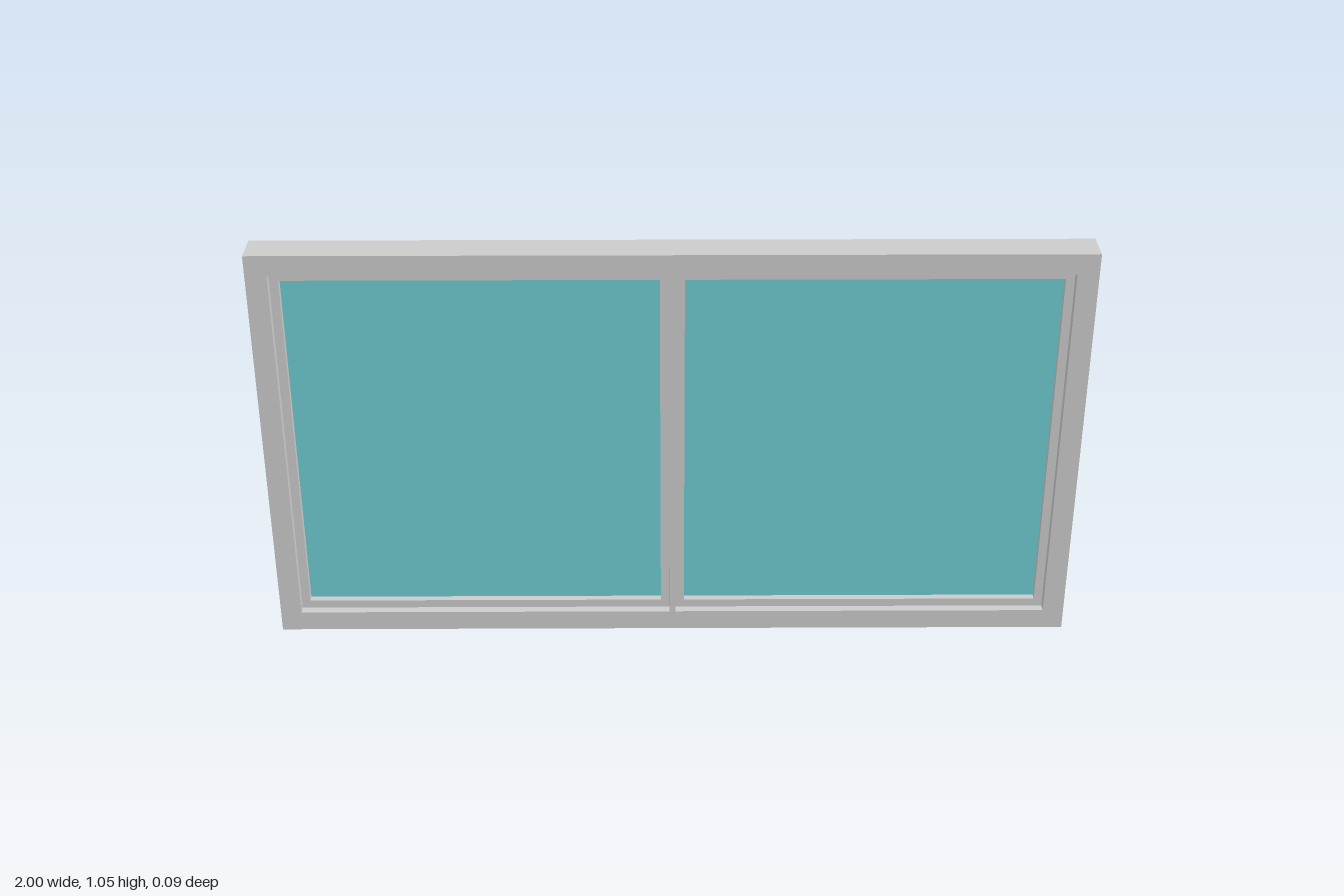
import * as THREE from 'three';

const W = 2, H = 1.05, DEPTH = 0.088;
const BORDER = 0.052, MULLION = 0.016, BEAD = 0.0215;

// Traces a rectangle given by its edges.
function rect(target, x0, y0, x1, y1) {
  target.moveTo(x0, y0);
  target.lineTo(x1, y0);
  target.lineTo(x1, y1);
  target.lineTo(x0, y1);
  target.closePath();
  return target;
}

// Flat rectangular plate with rectangular holes, centred on z = 0.
function plate(outer, holes, depth) {
  const shape = rect(new THREE.Shape(), ...outer);
  for (const h of holes) shape.holes.push(rect(new THREE.Path(), ...h));
  const geo = new THREE.ExtrudeGeometry(shape, { depth, bevelEnabled: false });
  return geo.translate(0, 0, -depth / 2);
}

export function createModel() {
  const group = new THREE.Group();
  const grey = new THREE.MeshStandardMaterial({ color: 0xcccccc });
  const glass = new THREE.MeshStandardMaterial({ color: 0x6fccd1 });

  const add = (name, geo, mat, parent = group) => {
    const mesh = new THREE.Mesh(geo, mat);
    mesh.name = name;
    parent.add(mesh);
    return mesh;
  };

  // The two openings either side of the central mullion
  const inner = W / 2 - BORDER, m = MULLION / 2;
  const openings = [
    [-inner, BORDER, -m, H - BORDER],
    [m, BORDER, inner, H - BORDER],
  ];

  // Outer frame and mullion in one piece
  add('windowFrame', plate([-W / 2, 0, W / 2, H], openings, DEPTH), grey);

  // A recessed sash and a glass pane in each opening
  openings.forEach(([x0, y0, x1, y1], i) => {
    const sash = new THREE.Group();
    sash.name = i ? 'leftSash' : 'rightSash';
    group.add(sash);
    const pane = [x0 + BEAD, y0 + BEAD, x1 - BEAD, y1 - BEAD];
    add('sashFrame', plate([x0, y0, x1, y1], [pane], 0.044), grey, sash);
    add('glassPane', plate(pane, [], 0.008), glass, sash);
  });

  return group;
}
